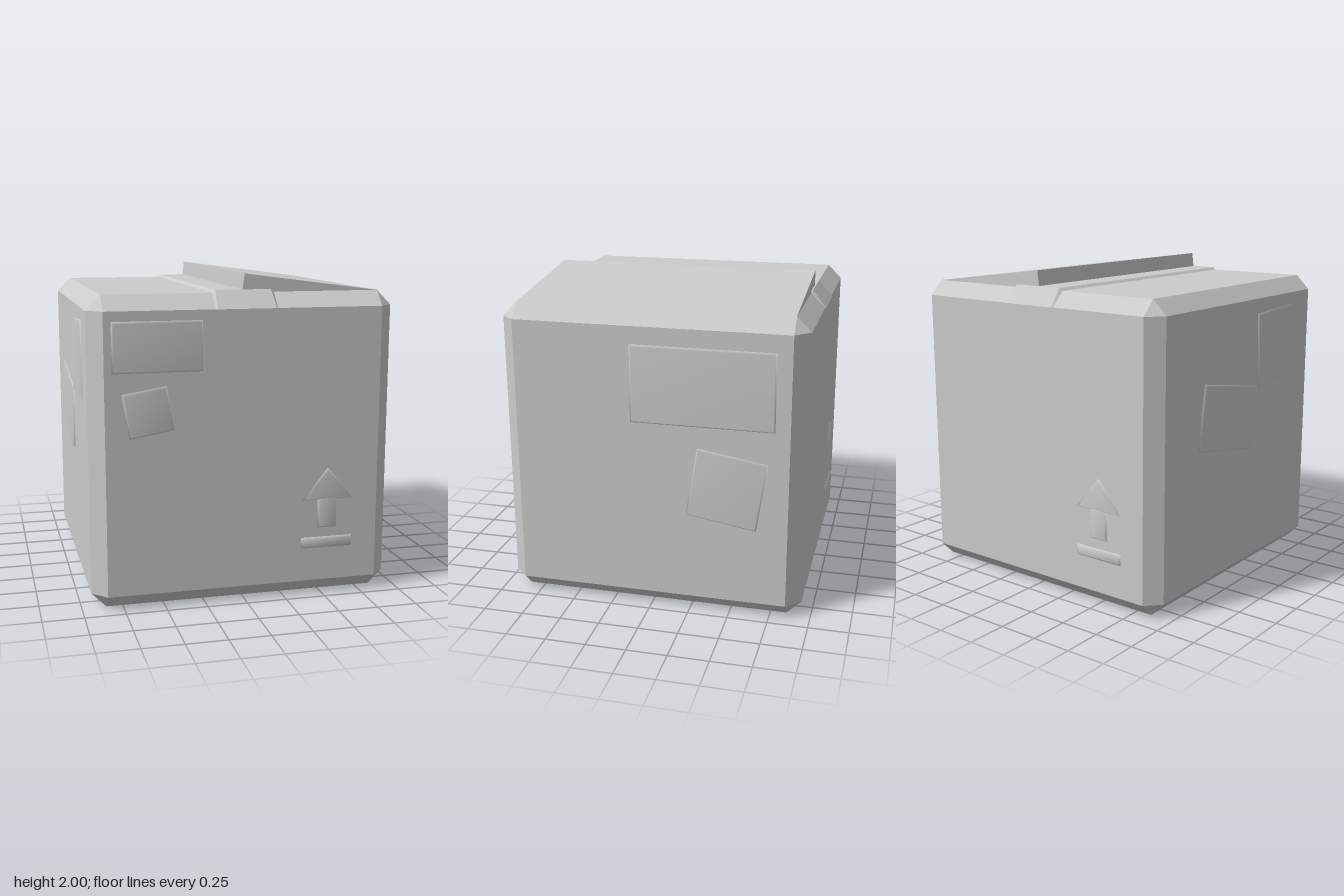
import * as THREE from 'three';
import { ConvexGeometry } from 'three/addons/geometries/ConvexGeometry.js';

const HALF = 0.94, INNER = 0.85, TOP = 1.89, BEVEL = 0.09, RAISE = 0.012;
const grey = new THREE.MeshStandardMaterial({ color: 0xcccccc });

function addMesh(parent, geometry, name) {
  const mesh = new THREE.Mesh(geometry, grey);
  mesh.name = name;
  parent.add(mesh);
  return mesh;
}

const hull = (points) => new ConvexGeometry(points.map((p) => new THREE.Vector3(...p)));

// Thin raised plate with sloped, smooth-shaded rim; outline runs counter-clockwise
function plateGeometry(outline, kx, ky) {
  const n = outline.length, pos = [], index = [];
  outline.forEach(([x, y]) => pos.push(x, y, 0));
  outline.forEach(([x, y]) => pos.push(x * kx, y * ky, RAISE));
  for (let i = 0; i < n; i++) {
    const j = (i + 1) % n;
    index.push(i, j, n + j, i, n + j, n + i);
    if (i > 0 && i < n - 1) index.push(n, n + i, n + j);
  }
  const g = new THREE.BufferGeometry();
  g.setAttribute('position', new THREE.Float32BufferAttribute(pos, 3));
  g.setIndex(index);
  g.computeVertexNormals();
  return g;
}

function addPlate(face, name, u, y, w, h, degrees = 0, rim = 0.012) {
  const a = w / 2, b = h / 2;
  const g = plateGeometry([[-a, -b], [a, -b], [a, b], [-a, b]], 1 - rim / a, 1 - rim / b);
  const mesh = addMesh(face, g, name);
  mesh.position.set(u, y, HALF);
  mesh.rotation.z = THREE.MathUtils.degToRad(degrees);
}

// "This way up" mark: bar, stem and triangular head
function addArrow(face) {
  addPlate(face, 'arrowBar', 0.525, 0.335, 0.33, 0.07);
  addPlate(face, 'arrowStem', 0.525, 0.525, 0.125, 0.19);
  const head = plateGeometry([[-0.165, -0.067], [0.165, -0.067], [0, 0.133]], 0.88, 0.88);
  addMesh(face, head, 'arrowHead').position.set(0.525, 0.677, HALF);
}

export function createModel() {
  const model = new THREE.Group();
  model.name = 'cardboardBox';

  // Chamfered body
  const corners = [];
  for (const sx of [-1, 1]) for (const sz of [-1, 1]) for (const top of [0, 1]) {
    const outerY = top ? TOP : 0, innerY = top ? TOP - BEVEL : BEVEL;
    corners.push(
      [sx * HALF, innerY, sz * INNER],
      [sx * INNER, outerY, sz * INNER],
      [sx * INNER, innerY, sz * HALF]);
  }
  addMesh(model, hull(corners), 'body');

  // Tape strip over the lid, folded down both chamfers
  const tape = [];
  for (const sz of [-1, 1]) for (const sx of [-1, 1]) {
    tape.push(
      [sx * 0.19, TOP - BEVEL, sz * HALF],
      [sx * 0.19, TOP, sz * INNER],
      [sx * 0.18, TOP - BEVEL, sz * (HALF + 0.008)],
      [sx * 0.17, TOP + 0.016, sz * (INNER + 0.008)]);
  }
  addMesh(model, hull(tape), 'tape');

  // Lifted lid flap, hinged along the left edge
  const flap = [];
  for (const z of [-INNER, INNER]) {
    flap.push([-0.005, TOP, z], [0.008, 2, z], [INNER, TOP, z]);
  }
  addMesh(model, hull(flap), 'lidFlap');

  // One group per wall, turned so that its local +z points outward
  const [front, left, back, right] = ['front', 'left', 'back', 'right'].map((name, i) => {
    const face = new THREE.Group();
    face.name = name + 'Details';
    face.rotation.y = i * Math.PI / 2;
    model.add(face);
    return face;
  });

  addPlate(front, 'label', -0.535, 1.59, 0.54, 0.3);
  addPlate(front, 'sticker', -0.595, 1.205, 0.27, 0.27, 9);
  addArrow(front);

  addPlate(left, 'label', 0.32, 1.45, 0.88, 0.48);
  addPlate(left, 'sticker', 0.475, 0.825, 0.44, 0.44, -9);

  addArrow(back);

  addPlate(right, 'label', -0.16, 1.09, 0.64, 0.41, -10);
  addPlate(right, 'sticker', 0.405, 1.475, 0.45, 0.48, 3);

  return model;
}
